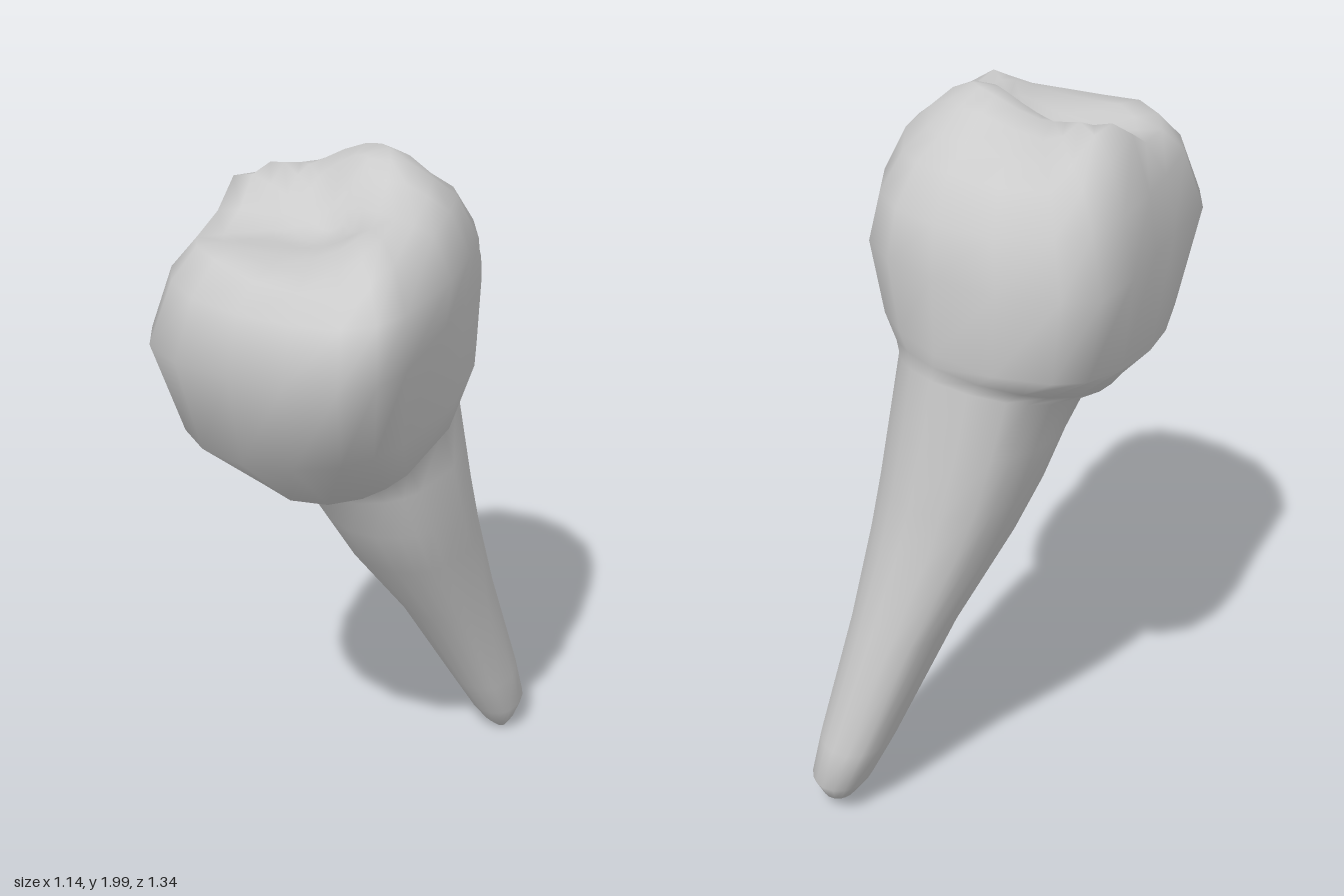
import * as THREE from 'three';

// Crown outline at its widest, as offsets from its centre
const CENTRE_Z = 0.125;
const OUTLINE = [
  [-0.57, -0.10], [-0.53, -0.20], [-0.42, -0.32], [-0.25, -0.39], [-0.10, -0.42],
  [0.03, -0.39], [0.17, -0.26], [0.26, -0.12], [0.38, 0.06], [0.54, 0.33],
  [0.57, 0.45], [0.53, 0.54], [0.40, 0.60], [0.24, 0.645], [0.06, 0.67],
  [-0.10, 0.635], [-0.21, 0.55], [-0.32, 0.35], [-0.40, 0.22], [-0.50, 0.06],
].map(([x, z]) => [x, z - CENTRE_Z]);

// Diagonal ellipse of the same size, used for the root and neck
const LONG = 0.656, SHORT = 0.45;
const ELLIPSE = OUTLINE.map(([x, z]) => {
  const u = (x + z) * Math.SQRT1_2, v = (z - x) * Math.SQRT1_2;
  const k = 1 / Math.hypot(u / LONG, v / SHORT);
  return [x * k, z * k];
});

// Rings from apex to shoulder:
// scale, centre x, centre z, height, tilt along x, tilt along z, roundness
const ROOT = [
  [0.040, -0.005, -0.565, 0.005, 0, 0, 1],
  [0.110, -0.022, -0.570, 0.035, 0, 0, 1],
  [0.190, -0.032, -0.564, 0.10, 0, 0, 1],
  [0.235, -0.045, -0.515, 0.22, 0, 0, 1],
  [0.328, -0.057, -0.358, 0.55, 0, 0, 1],
  [0.443, -0.062, -0.225, 0.80, 0, 0, 1],
  [0.500, -0.068, -0.162, 0.95, 0, 0, 1],
  [0.535, -0.077, -0.115, 1.10, 0, -0.08, 1],
];
const CROWN = [
  [0.56, -0.085, -0.075, 1.22, 0, -0.31, 0.9],
  [0.67, -0.055, -0.01, 1.25, 0.04, -0.30, 0.9],
  [0.89, -0.02, 0.095, 1.375, 0.11, -0.10, 0.7],
  [1.00, 0.00, 0.125, 1.61, 0.07, -0.02, 0],
  [0.91, 0.012, 0.12, 1.75, 0.04, 0.02, 0.35],
];

// Chewing surface: cusps and a central pit as [x, z, height, radius]
const CUSPS = [
  [0.06, -0.04, 0.14, 0.17],
  [-0.14, -0.10, 0.12, 0.18],
  [-0.29, 0.13, 0.10, 0.13],
  [0.33, 0.20, 0.10, 0.16],
  [0.02, 0.47, 0.03, 0.15],
  [0.05, 0.16, -0.03, 0.10],
];
const chewHeight = (x, z) => CUSPS.reduce(
  (y, [cx, cz, h, r]) => y + h * Math.exp(-((x - cx) ** 2 + (z - cz) ** 2) / (r * r)), 1.81);

const sideRing = ([s, cx, cz, y, tx, tz, round]) => OUTLINE.map(([ox, oz], i) => {
  const x = s * THREE.MathUtils.lerp(ox, ELLIPSE[i][0], round);
  const z = s * THREE.MathUtils.lerp(oz, ELLIPSE[i][1], round);
  return new THREE.Vector3(cx + x, y + tx * x + tz * z, cz + z);
});

const topRing = (s) => OUTLINE.map(([ox, oz], i) => {
  const x = s * THREE.MathUtils.lerp(ox, ELLIPSE[i][0], 0.35);
  const z = 0.11 + s * THREE.MathUtils.lerp(oz, ELLIPSE[i][1], 0.35);
  return new THREE.Vector3(x, chewHeight(x, z), z);
});

// Skin closed rings, listed from bottom to top, with shared smooth vertices
function loft(rings) {
  const n = rings[0].length;
  const index = [];
  for (let j = 0; j < rings.length - 1; j++) {
    for (let i = 0; i < n; i++) {
      const a = j * n + i, b = j * n + (i + 1) % n;
      index.push(a, a + n, b, b, a + n, b + n);
    }
  }
  // Close both ends with a centre point
  const points = rings.flat();
  const addCap = (j, up) => {
    const m = points.length;
    points.push(rings[j].reduce((s, p) => s.add(p), new THREE.Vector3()).divideScalar(n));
    for (let i = 0; i < n; i++) {
      const a = j * n + i, b = j * n + (i + 1) % n;
      index.push(...(up ? [a, m, b] : [b, m, a]));
    }
  };
  addCap(0, false);
  addCap(rings.length - 1, true);
  const geometry = new THREE.BufferGeometry().setFromPoints(points);
  geometry.setIndex(index);
  geometry.computeVertexNormals();
  return geometry;
}

export function createModel() {
  const group = new THREE.Group();
  group.name = 'tooth';
  // Root and crown flow into each other as one skin
  const rings = [
    ...[...ROOT, ...CROWN].map(sideRing),
    ...[0.77, 0.62, 0.48, 0.35, 0.22, 0.1].map(topRing),
  ];
  const mesh = new THREE.Mesh(loft(rings), new THREE.MeshStandardMaterial({ color: 0xcccccc }));
  mesh.name = 'rootAndCrown';
  group.add(mesh);
  return group;
}
